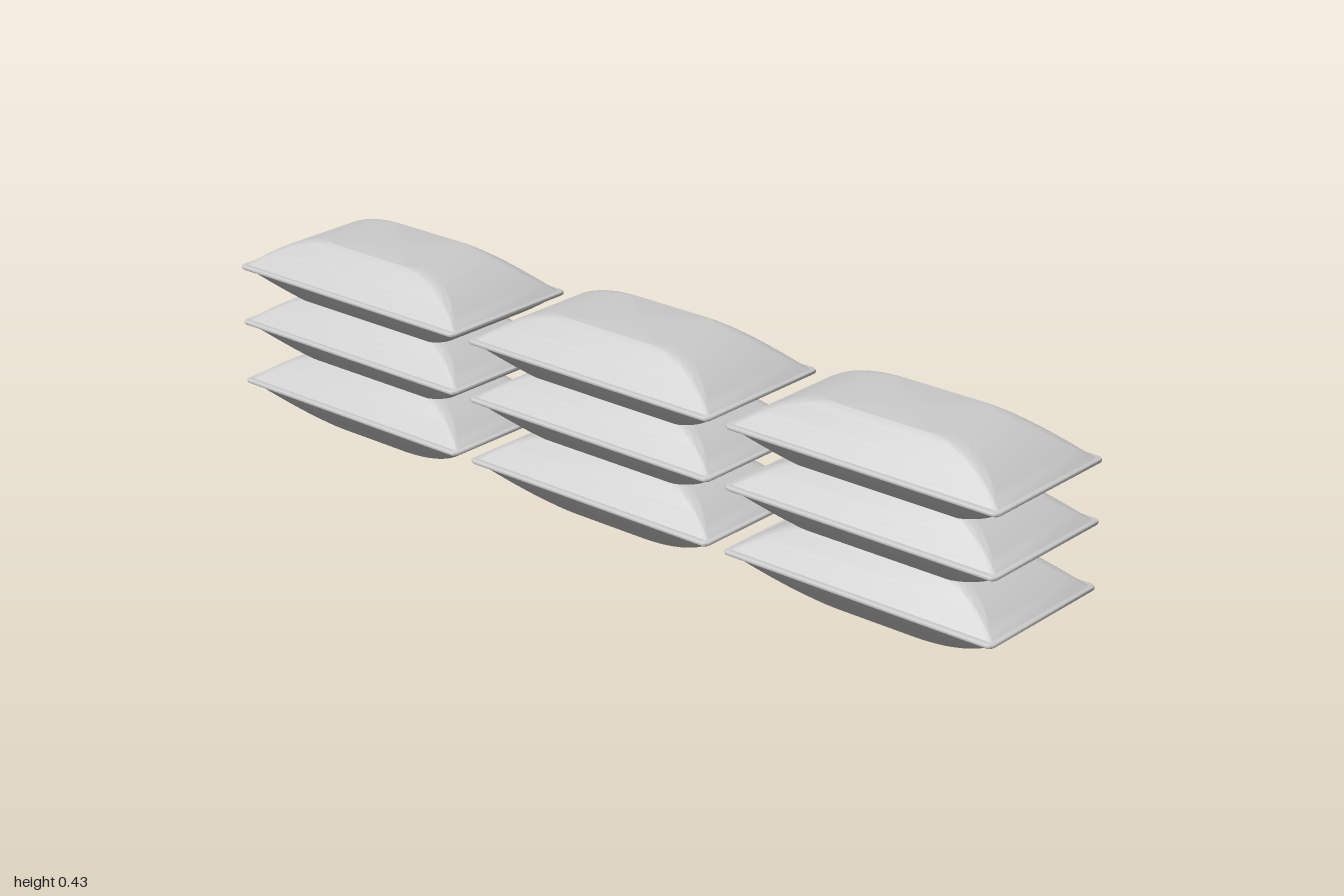
import * as THREE from 'three';
import { toCreasedNormals } from 'three/addons/utils/BufferGeometryUtils.js';

const HALF_HEIGHT = 0.0805;
const CORNER_STEPS = 6;

// Rounded rectangle outline as [x, z] pairs
function roundedRect(hx, hz, r) {
  const pts = [];
  const corners = [[1, 1], [-1, 1], [-1, -1], [1, -1]];
  corners.forEach(([sx, sz], q) => {
    for (let k = 0; k <= CORNER_STEPS; k++) {
      const a = (q + k / CORNER_STEPS) * Math.PI / 2;
      pts.push([sx * (hx - r) + r * Math.cos(a), sz * (hz - r) + r * Math.sin(a)]);
    }
  });
  return pts;
}

// Cushion body: straight sloping sides, ends curving into a flat top and bottom
function cushionGeometry() {
  const levels = 12, pos = [], idx = [];
  let n = 0;
  for (let j = -levels; j <= levels; j++) {
    const u = 1 - Math.abs(j) / levels; // 1 at the seam, 0 at the flat face
    const t = 1 - u * u;
    const ring = roundedRect(0.165 - 0.071 * t, 0.12 + 0.196 * u, 0.008 + 0.022 * t);
    n = ring.length;
    for (const [x, z] of ring) pos.push(x, Math.sign(j) * t * HALF_HEIGHT, z);
  }
  const rows = 2 * levels + 1;
  const bottom = rows * n, top = bottom + 1;
  pos.push(0, -HALF_HEIGHT, 0, 0, HALF_HEIGHT, 0);
  for (let i = 0; i < n; i++) {
    const i2 = (i + 1) % n;
    for (let j = 0; j < rows - 1; j++) {
      const a = j * n + i, b = j * n + i2;
      idx.push(a, a + n, b, b, a + n, b + n);
    }
    const last = (rows - 1) * n;
    idx.push(bottom, i, i2, top, last + i2, last + i);
  }
  const geo = new THREE.BufferGeometry();
  geo.setAttribute('position', new THREE.Float32BufferAttribute(pos, 3));
  geo.setIndex(idx);
  return toCreasedNormals(geo, 0.7);
}

// Thin rounded flange around the seam
function seamGeometry() {
  const bevel = 0.004;
  const outline = (hx, hz, r) => roundedRect(hx, hz, r).map(([x, z]) => new THREE.Vector2(x, z));
  const shape = new THREE.Shape(outline(0.174 - bevel, 0.32 - bevel, 0.01));
  shape.holes.push(new THREE.Path(outline(0.154, 0.3, 0.006).reverse()));
  const geo = new THREE.ExtrudeGeometry(shape, {
    depth: 0.001, bevelEnabled: true, bevelSize: bevel, bevelThickness: bevel, bevelSegments: 4,
  });
  geo.translate(0, 0, -0.0005).rotateX(-Math.PI / 2);
  return toCreasedNormals(geo, 0.7);
}

export function createModel() {
  const model = new THREE.Group();
  model.name = 'cushionStacks';
  const material = new THREE.MeshStandardMaterial({ color: 0xcccccc });
  const body = cushionGeometry();
  const seam = seamGeometry();

  // Three stacks in a row, each three cushions high
  for (const z of [-0.68, 0, 0.68]) {
    const stack = new THREE.Group();
    stack.name = 'stack';
    stack.position.z = z;
    for (const y of [HALF_HEIGHT, 0.2175, 0.345]) {
      const cushion = new THREE.Group();
      cushion.name = 'cushion';
      cushion.position.y = y;
      const bodyMesh = new THREE.Mesh(body, material);
      bodyMesh.name = 'cushionBody';
      const seamMesh = new THREE.Mesh(seam, material);
      seamMesh.name = 'seamFlange';
      cushion.add(bodyMesh, seamMesh);
      stack.add(cushion);
    }
    model.add(stack);
  }
  return model;
}
